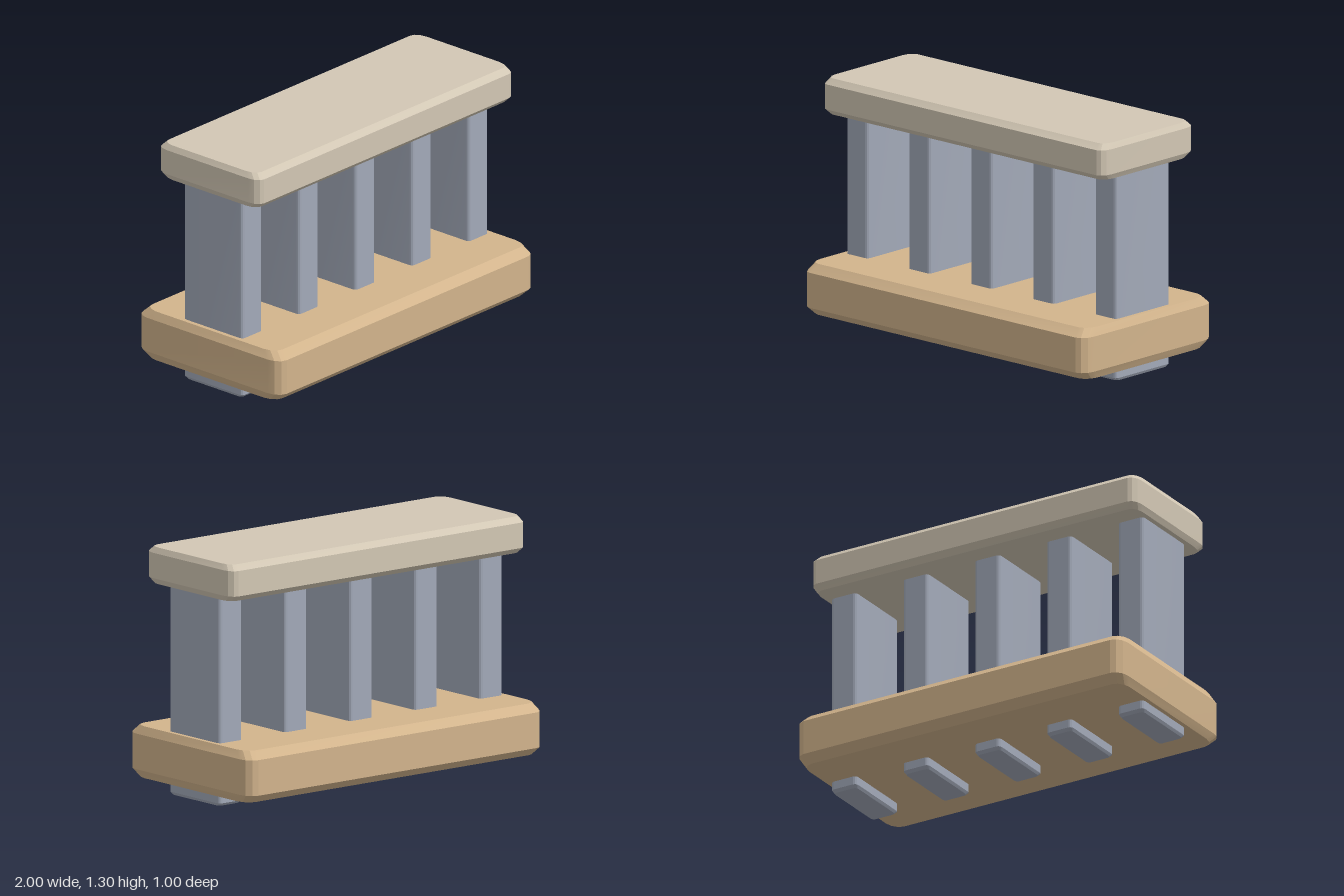
import * as THREE from 'three';
import { toCreasedNormals } from 'three/addons/utils/BufferGeometryUtils.js';

// Outline of a rectangle with elliptical corners, as [x, z] points
function outline(hx, hz, rx, rz, steps) {
  const points = [];
  const corners = [[1, 1], [-1, 1], [-1, -1], [1, -1]];
  corners.forEach(([sx, sz], k) => {
    for (let i = 0; i <= steps; i++) {
      const a = (k + i / steps) * Math.PI / 2;
      points.push([sx * (hx - rx) + rx * Math.cos(a), sz * (hz - rz) + rz * Math.sin(a)]);
    }
  });
  return points;
}

// Block with rounded upright corners and bevelled top and bottom rims
function bevelledBlock({ hx, hz, y0, y1, rx, rz, ix, iz, iy, steps = 3 }) {
  const positions = [];
  const index = [];
  const inner = outline(hx - ix, hz - iz, rx, rz, steps);
  const outer = outline(hx, hz, rx, rz, steps);
  const rings = [[y0, inner], [y0 + iy, outer], [y1 - iy, outer], [y1, inner]];
  const n = outer.length;
  for (const [y, ring] of rings) for (const [x, z] of ring) positions.push(x, y, z);
  positions.push(0, y0, 0, 0, y1, 0);
  for (let i = 0; i < n; i++) {
    const j = (i + 1) % n;
    for (let r = 0; r < 3; r++) {
      const a = r * n + i, b = r * n + j;
      index.push(a, a + n, b, b, a + n, b + n);
    }
    index.push(4 * n, i, j);
    index.push(4 * n + 1, 3 * n + j, 3 * n + i);
  }
  const geometry = new THREE.BufferGeometry();
  geometry.setAttribute('position', new THREE.Float32BufferAttribute(positions, 3));
  geometry.setIndex(index);
  return toCreasedNormals(geometry, 0.3);
}

export function createModel() {
  const group = new THREE.Group();
  const paleStone = new THREE.MeshStandardMaterial({ color: 0xd2c7b4 });
  paleStone.name = 'paleStone';
  const tan = new THREE.MeshStandardMaterial({ color: 0xd2b48c });
  tan.name = 'tan';
  const blueGrey = new THREE.MeshStandardMaterial({ color: 0xa2a9b8 });
  blueGrey.name = 'blueGrey';

  function add(name, geometry, material, x = 0) {
    const mesh = new THREE.Mesh(geometry, material);
    mesh.name = name;
    mesh.position.x = x;
    group.add(mesh);
  }

  // Wide lower slab
  add('baseSlab', bevelledBlock({
    hx: 1, hz: 0.5, y0: 0.06, y1: 0.335, rx: 0.06, rz: 0.08, ix: 0.018, iz: 0.045, iy: 0.043,
  }), tan);

  // Narrower upper slab
  add('topSlab', bevelledBlock({
    hx: 1, hz: 0.355, y0: 1.11, y1: 1.305, rx: 0.045, rz: 0.07, ix: 0.014, iz: 0.03, iy: 0.03,
  }), paleStone);

  // Row of five posts passing through the base
  const post = bevelledBlock({
    hx: 0.078, hz: 0.207, y0: 0, y1: 1.2, rx: 0.018, rz: 0.022, ix: 0.008, iz: 0.015, iy: 0.015,
  });
  for (let i = -2; i <= 2; i++) add(`post${i + 3}`, post, blueGrey, i * 0.44);

  return group;
}
